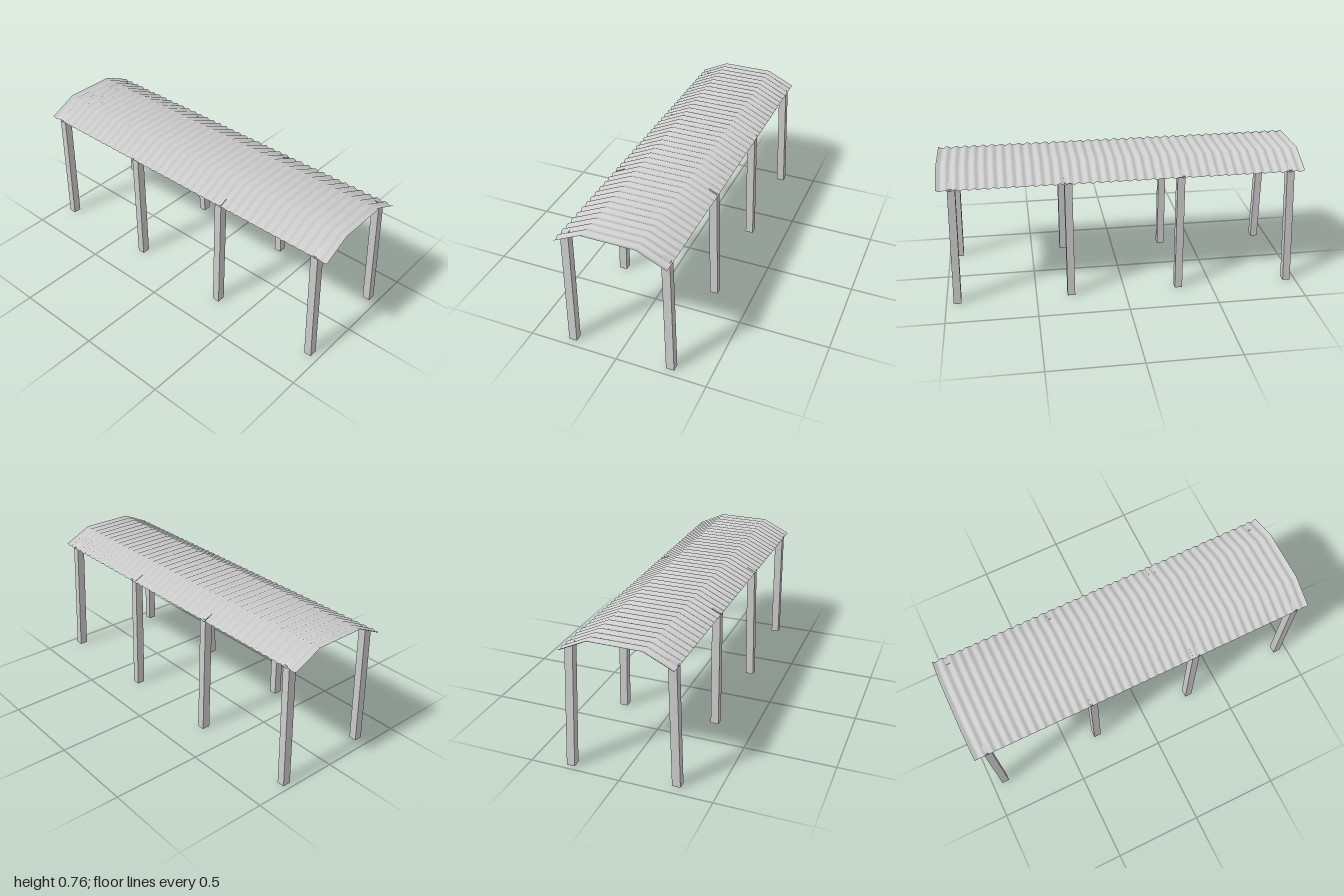
import * as THREE from 'three';

// Roof cross-section, front eave to back eave: [z, y]
const PROFILE = [[0.303, 0.679], [0.148, 0.754], [-0.142, 0.754], [-0.297, 0.679]];

function roofHeight(z) {
  for (let i = 0; i < 3; i++) {
    const [z0, y0] = PROFILE[i], [z1, y1] = PROFILE[i + 1];
    if (z >= z1 || i === 2) return y0 + (y1 - y0) * (z0 - z) / (z0 - z1);
  }
}

// Corrugated sheet: the profile swept along x, rippled along its normal
function roofGeometry(waves, perWave, amplitude) {
  const n = waves * perWave, rows = PROFILE.length;
  const geo = new THREE.PlaneGeometry(2, 1, n, rows - 1);
  const pos = geo.attributes.position;
  for (let j = 0; j < rows; j++) {
    const lean = j === 0 ? 0.45 : j === rows - 1 ? -0.45 : 0.23 * (j === 1 ? 1 : -1);
    for (let i = 0; i <= n; i++) {
      const d = amplitude * Math.cos((i / perWave) * Math.PI * 2);
      pos.setXYZ(j * (n + 1) + i, -1 + (2 * i) / n,
        PROFILE[j][1] + d, PROFILE[j][0] + d * lean);
    }
  }
  // Rows run front to back, so reverse the corners to face upward
  const index = geo.index.array;
  for (let k = 0; k < index.length; k += 3) {
    [index[k + 1], index[k + 2]] = [index[k + 2], index[k + 1]];
  }
  geo.computeVertexNormals();
  return geo;
}

// Square post with its head cut to the roof slope and its foot splayed
function postGeometry(x, z, footX, footZ) {
  const geo = new THREE.BoxGeometry(0.042, 1, 0.045);
  const pos = geo.attributes.position;
  for (let i = 0; i < pos.count; i++) {
    const top = pos.getY(i) > 0;
    const px = x + pos.getX(i), pz = z + pos.getZ(i);
    if (top) pos.setXYZ(i, px, roofHeight(pz), pz);
    else pos.setXYZ(i, px + footX, 0, pz + footZ);
  }
  const flat = geo.toNonIndexed();
  flat.computeVertexNormals();
  return flat;
}

export function createModel() {
  const group = new THREE.Group();
  const grey = new THREE.MeshStandardMaterial({ color: 0xcccccc, side: THREE.DoubleSide });
  grey.name = 'light grey';

  const roof = new THREE.Mesh(roofGeometry(40, 8, 0.0045), grey);
  roof.name = 'corrugatedRoof';
  group.add(roof);

  // Posts: head x, head z, foot offset in x and z
  const posts = [
    ['frontPost', -0.924, 0.274, 0, 0.014],
    ['frontPost', -0.31, 0.274, 0, 0],
    ['frontPost', 0.305, 0.274, 0, 0.014],
    ['frontPost', 0.92, 0.274, 0.019, 0],
    ['backPost', -0.924, -0.265, -0.026, -0.022],
    ['backPost', -0.31, -0.265, 0, -0.018],
    ['backPost', 0.305, -0.265, 0, -0.018],
    ['backPost', 0.92, -0.265, 0.019, -0.022],
  ];
  for (const [name, ...spec] of posts) {
    const post = new THREE.Mesh(postGeometry(...spec), grey);
    post.name = name;
    group.add(post);
  }
  return group;
}
